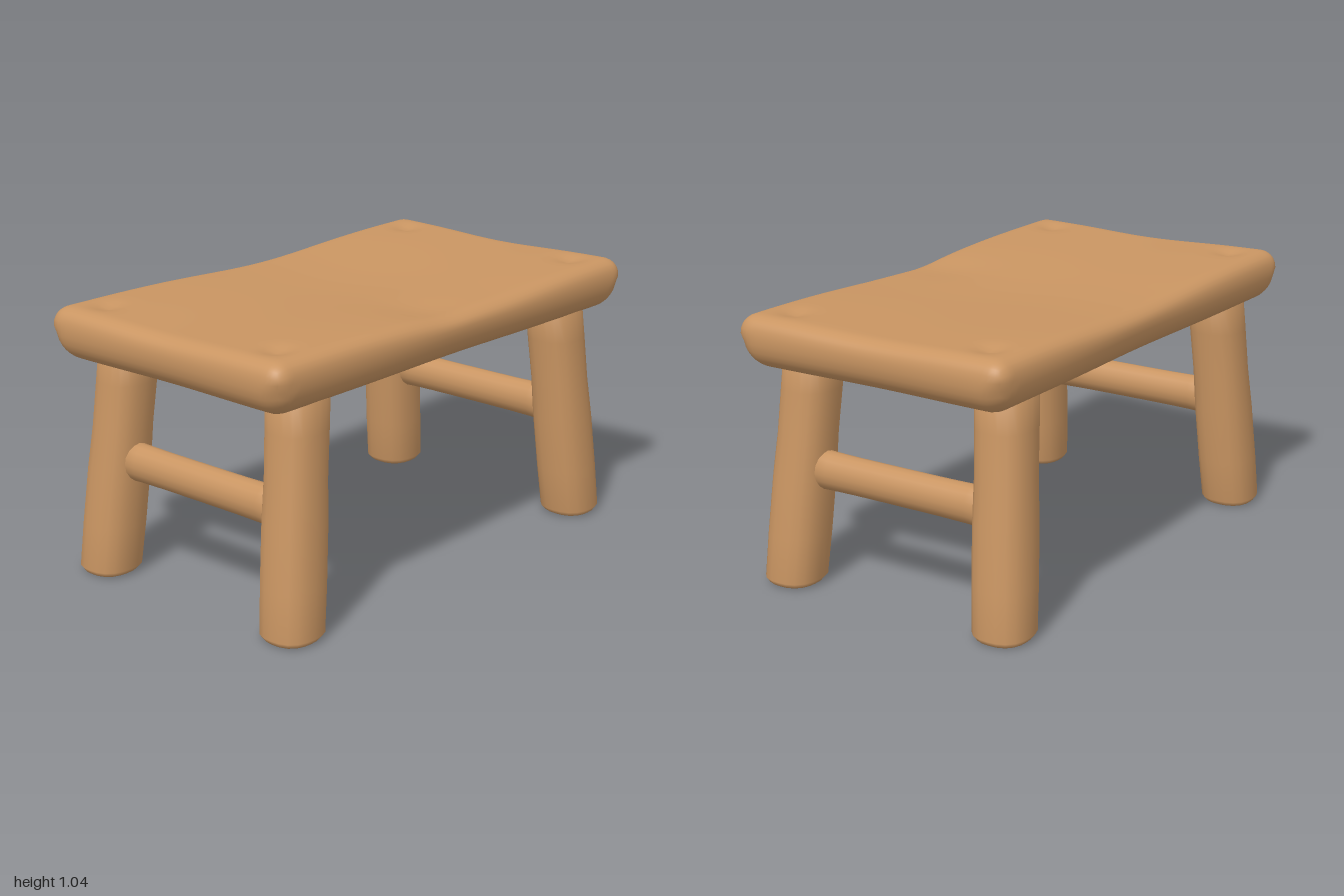
import * as THREE from 'three';
import { mergeVertices } from 'three/addons/utils/BufferGeometryUtils.js';

const wood = new THREE.MeshStandardMaterial({ color: 0xc99562 });
wood.name = 'warm wood';

// Moves every vertex by a rule and rebuilds smooth normals
function reshape(geometry, rule) {
  geometry.deleteAttribute('uv');
  geometry.deleteAttribute('normal');
  const g = mergeVertices(geometry, 1e-5);
  const pos = g.attributes.position;
  const v = new THREE.Vector3();
  for (let i = 0; i < pos.count; i++) {
    v.fromBufferAttribute(pos, i);
    rule(v);
    pos.setXYZ(i, v.x, v.y, v.z);
  }
  g.computeVertexNormals();
  return g;
}

function part(name, geometry) {
  const mesh = new THREE.Mesh(geometry, wood);
  mesh.name = name;
  return mesh;
}

const bump = (d, width) => Math.exp(-(d * d) / (width * width));

// Thick slab with rounded edges, a worn hollow and dents over the leg ends
function seatGeometry() {
  const half = new THREE.Vector3(1, 0.1, 0.578);
  const spread = (u) => Math.sign(u) * (1 - Math.pow(1 - Math.abs(u), 1.6));
  const inner = new THREE.Vector3();
  return reshape(new THREE.BoxGeometry(2, 2, 2, 56, 10, 40), (v) => {
    v.set(spread(v.x), spread(v.y), spread(v.z)).multiply(half);
    const r = v.y > 0 ? 0.07 : 0.095;
    inner.copy(half).subScalar(r);
    inner.set(
      THREE.MathUtils.clamp(v.x, -inner.x, inner.x),
      THREE.MathUtils.clamp(v.y, -inner.y, inner.y),
      THREE.MathUtils.clamp(v.z, -inner.z, inner.z));
    v.sub(inner);
    if (v.lengthSq() > 0) v.setLength(r);
    v.add(inner);
    const top = THREE.MathUtils.smoothstep(v.y, 0, 0.1);
    // slightly waisted outline, narrower underneath
    const under = v.y < 0 ? 1 + v.y * 0.25 : 1;
    const x = v.x, z = v.z;
    v.x *= (1 - 0.012 * bump(z, 0.3)) * (1 + (under - 1) * 0.5);
    v.z *= (1 - 0.022 * bump(x, 0.35)) * under;
    // worn hollow
    let drop = 0.024 * bump(x - 0.08, 0.45) + 0.012 * bump(z, 0.3);
    drop += 0.012 * bump(x + 0.06, 0.13) * bump(z - 0.42, 0.16);
    // leg end dents
    drop += 0.018 * bump(Math.abs(x) - 0.84, 0.05) * bump(Math.abs(z) - 0.42, 0.05);
    v.y += 0.95 - drop * top;
  });
}

// Splayed leg with a softly squared section
function legGeometry(sx, sz) {
  const profile = [[0, 0.008], [0.06, 0.006], [0.095, 0.01], [0.111, 0.03], [0.113, 0.2],
    [0.112, 0.42], [0.107, 0.58], [0.108, 0.75], [0.108, 0.92], [0, 0.93]]
    .map(([r, y]) => new THREE.Vector2(r, y));
  return reshape(new THREE.LatheGeometry(profile, 20), (v) => {
    const a = Math.atan2(v.z, v.x);
    const square = Math.pow(
      Math.pow(Math.abs(Math.cos(a)), 2.5) + Math.pow(Math.abs(Math.sin(a)), 2.5), -1 / 2.5);
    v.x = v.x * square + sx * (0.832 - 0.105 * v.y);
    v.z = v.z * square * 0.96 + sz * (0.47 - 0.055 * v.y);
  });
}

// Rail joining the front and back leg on one side
function railGeometry() {
  const g = new THREE.CylinderGeometry(0.07, 0.07, 0.82, 16, 8);
  g.rotateX(Math.PI / 2);
  return reshape(g, (v) => {
    const swell = 1 + 0.1 * Math.pow(v.z / 0.41, 4);
    v.x *= 0.85 * swell;
    v.y *= swell;
  });
}

export function createModel() {
  const stool = new THREE.Group();
  stool.name = 'stool';
  stool.add(part('seat', seatGeometry()));
  for (const sx of [1, -1]) {
    const side = sx > 0 ? 'left' : 'right';
    stool.add(part(side + 'FrontLeg', legGeometry(sx, 1)));
    stool.add(part(side + 'BackLeg', legGeometry(sx, -1)));
    const rail = part(side + 'Rail', railGeometry());
    rail.position.set(sx * 0.785, 0.452, 0);
    stool.add(rail);
  }
  return stool;
}
